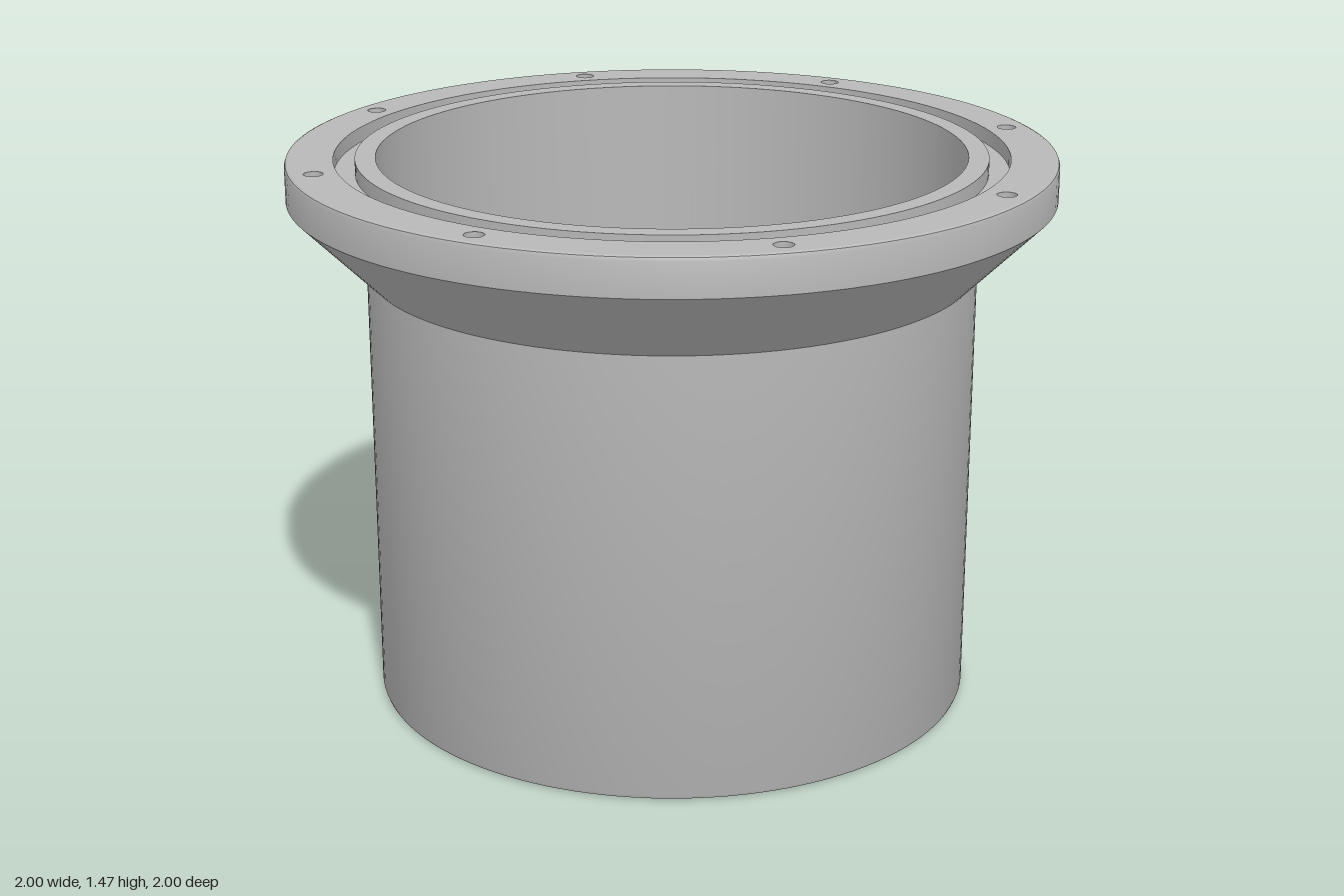
import * as THREE from 'three';
import { toCreasedNormals } from 'three/addons/utils/BufferGeometryUtils.js';

const FLOOR = 0.04, TOP = 1.47, WALL = 0.767;

export function createModel() {
  const model = new THREE.Group();
  model.name = 'flangedHousing';
  const grey = new THREE.MeshStandardMaterial({ color: 0xb8b8b8 });
  grey.name = 'plain grey';

  const add = (name, geometry, x = 0, y = 0, z = 0) => {
    const mesh = new THREE.Mesh(toCreasedNormals(geometry, 0.5), grey);
    mesh.name = name;
    mesh.position.set(x, y, z);
    model.add(mesh);
    return mesh;
  };
  const lathe = (points, segments = 32) =>
    new THREE.LatheGeometry(points.map(([r, y]) => new THREE.Vector2(r, y)), segments);
  const circle = (x, y, r) => new THREE.Path().absarc(x, y, r, 0, Math.PI * 2, false);
  // plan outline raised upwards
  const raise = (shape, depth) =>
    new THREE.ExtrudeGeometry(shape, { depth, bevelEnabled: false, curveSegments: 48 }).rotateX(-Math.PI / 2);

  // outer wall, flare and flange edge
  add('outerShell', lathe([
    [0.788, 0], [0.797, 0.004], [0.8, 0.012], [0.8, 1.17], [1, 1.37],
    [1, 1.458], [0.997, 1.467], [0.99, TOP],
  ], 128));

  // seal groove, inner lip and cavity wall
  add('grooveAndCavity', lathe([
    [0.875, TOP], [0.875, 1.43], [0.82, 1.43], [0.82, TOP], [WALL, TOP], [WALL, FLOOR],
  ], 128));

  // flange face with eight blind bolt holes
  const face = new THREE.Shape().absarc(0, 0, 0.99, 0, Math.PI * 2, false);
  face.holes.push(circle(0, 0, 0.875));
  for (let i = 0; i < 8; i++) {
    const a = (i + 0.5) * Math.PI / 4;
    const x = 0.935 * Math.cos(a), z = 0.935 * Math.sin(a);
    face.holes.push(circle(x, z, 0.025));
    add('boltHole', lathe([[0.025, 0], [0.025, -0.1], [0, -0.1]], 24), x, TOP, z);
  }
  add('flangeFace', new THREE.ShapeGeometry(face, 64).rotateX(-Math.PI / 2), 0, TOP, 0);

  // floor with screw holes, outlet and a cluster of inlet holes
  const floor = new THREE.Shape().absarc(0, 0, 0.788, 0, Math.PI * 2, false);
  floor.holes.push(circle(0.565, 0, 0.024), circle(-0.565, 0, 0.014));
  for (let i = 0; i < 6; i++) {
    const a = i * Math.PI / 3;
    floor.holes.push(circle(-0.565 + 0.035 * Math.cos(a), 0.035 * Math.sin(a), 0.014));
  }
  for (const sx of [-1, 1]) for (const sz of [-1, 1]) {
    floor.holes.push(circle(sx * 0.325, sz * 0.325, 0.02));
    // standoff, drilled from below
    add('standoff', lathe([
      [0, 0.15], [0.02, 0.15], [0.02, 0], [0.063, 0], [0.063, 0.2], [0, 0.2],
    ]), sx * 0.325, FLOOR, sz * 0.325);
  }
  add('floor', raise(floor, FLOOR));

  // cradles with a half-round seat
  const cradle = new THREE.Shape();
  cradle.moveTo(-0.2, 0);
  cradle.lineTo(0.2, 0);
  cradle.lineTo(0.2, 0.2);
  cradle.lineTo(0.145, 0.2);
  cradle.absarc(0, 0.2, 0.145, 0, -Math.PI, true);
  cradle.lineTo(-0.2, 0.2);
  const cradleGeometry = new THREE.ExtrudeGeometry(cradle, {
    depth: 0.095, bevelEnabled: false, curveSegments: 32,
  }).translate(0, 0, -0.0475).rotateY(Math.PI / 2);
  for (const x of [-0.143, 0.165]) for (const z of [-0.32, 0.318]) {
    add('cradle', cradleGeometry, x, FLOOR, z);
  }

  // tall block against the wall with a vertical duct
  const a = Math.asin(0.175 / 0.77);
  const block = new THREE.Shape();
  block.moveTo(-0.39, 0.175);
  block.lineTo(-0.39, -0.175);
  block.absarc(0, 0, 0.77, Math.PI + a, Math.PI - a, true);
  block.closePath();
  block.holes.push(circle(-0.565, 0, 0.052));
  add('ductBlock', raise(block, 1.05 - FLOOR), 0, FLOOR, 0);

  // barbed hose nozzles
  const nozzle = lathe([
    [0.024, 0], [0.063, 0], [0.063, 0.01], [0.036, 0.035], [0.036, 0.08],
    [0.045, 0.09], [0.045, 0.105], [0.031, 0.17], [0.024, 0.17], [0.024, 0],
  ]);
  add('blockNozzle', nozzle, -0.565, 1.05, 0);
  add('floorNozzle', nozzle, 0.565, FLOOR, 0);

  return model;
}
